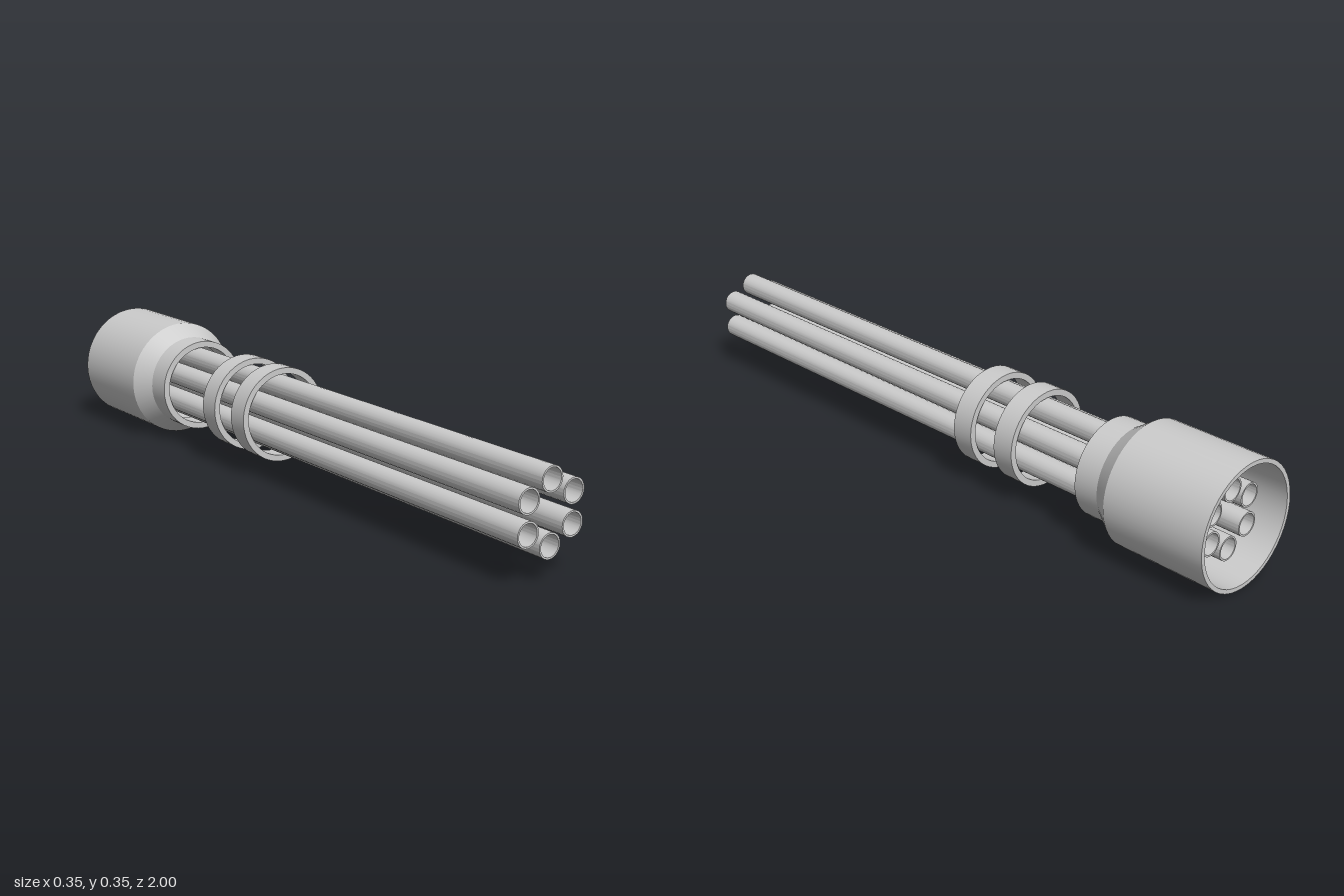
import * as THREE from 'three';
import { toCreasedNormals } from 'three/addons/utils/BufferGeometryUtils.js';

const AXIS_Y = 0.177;
const material = new THREE.MeshStandardMaterial({ color: 0xcccccc, side: THREE.DoubleSide });

// Turns a profile of [radius, z] points around the z axis, keeping edges sharp
function turned(name, profile, segments) {
  const points = profile.map(([r, z]) => new THREE.Vector2(r, z));
  const geometry = new THREE.LatheGeometry(points, segments).rotateX(Math.PI / 2);
  const mesh = new THREE.Mesh(toCreasedNormals(geometry, 0.5), material);
  mesh.name = name;
  return mesh;
}

export function createModel() {
  const model = new THREE.Group();
  model.name = 'rotaryBarrelAssembly';

  const assembly = new THREE.Group();
  assembly.name = 'barrelCluster';
  assembly.position.y = AXIS_Y;
  model.add(assembly);

  // Hollow rear housing: wide sleeve tapering to a narrow neck
  assembly.add(turned('housing', [
    [0.177, -1], [0.177, -0.69], [0.14, -0.635], [0.14, -0.56],
    [0.121, -0.56], [0.121, -0.635], [0.165, -0.69], [0.165, -1], [0.177, -1],
  ], 48));

  // Two clamp bands around the barrels
  [-0.143, -0.298].forEach((z, i) => {
    const h = 0.033;
    assembly.add(turned(`clampBand${i + 1}`, [
      [0.14, z - h], [0.14, z + h], [0.122, z + h], [0.122, z - h], [0.14, z - h],
    ], 48));
  });

  // Six barrels, each with a bore ending in a drilled cone at both ends
  const front = 1, back = -0.95, radius = 0.034, bore = 0.029;
  for (let i = 0; i < 6; i++) {
    const angle = Math.PI / 2 + (i * Math.PI) / 3;
    const barrel = turned(`barrel${i + 1}`, [
      [0, back + 0.34], [bore, back + 0.3], [bore, back], [radius, back],
      [radius, front], [bore, front], [bore, front - 0.3], [0, front - 0.34],
    ], 24);
    barrel.position.set(Math.cos(angle) * 0.083, Math.sin(angle) * 0.083, 0);
    assembly.add(barrel);
  }

  return model;
}
